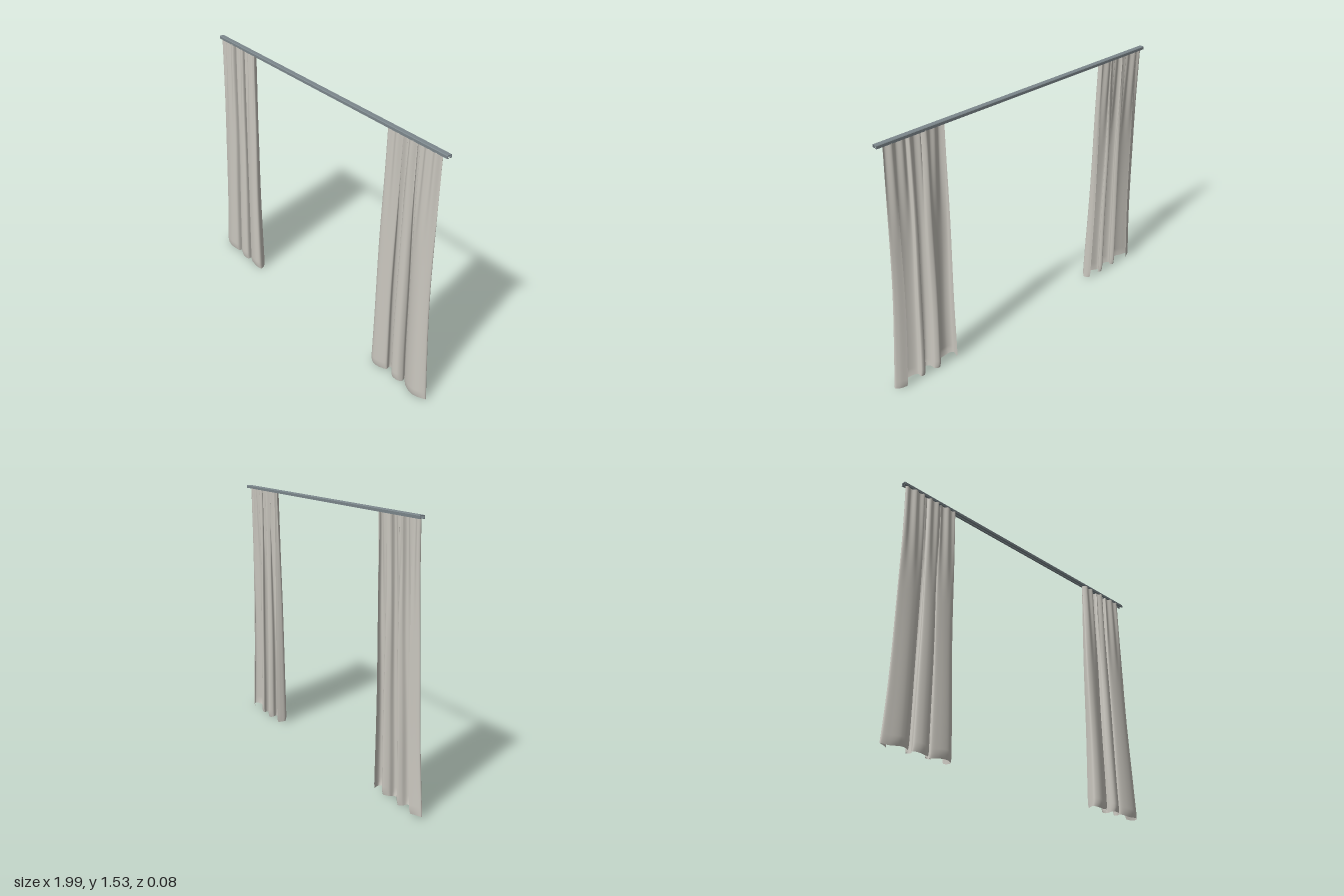
import * as THREE from 'three';

const fabric = new THREE.MeshStandardMaterial({ color: 0xc9c6be, side: THREE.DoubleSide });
fabric.name = 'linen fabric';
const metal = new THREE.MeshStandardMaterial({ color: 0x7c878c });
metal.name = 'grey metal';

const TOP = 1.517;

// Cloth sheet: a fold line swept from hem to rail, gathering and pleating as it rises
function curtain(name, hemPoints, hemRange, topRange) {
  const fold = new THREE.CatmullRomCurve3(
    hemPoints.map(([x, z]) => new THREE.Vector3(x, 0, z)), false, 'centripetal');
  const cols = 180, rows = 48;
  const line = fold.getSpacedPoints(cols);
  const geo = new THREE.PlaneGeometry(1, 1, cols, rows);
  const pos = geo.attributes.position;
  const { lerp, smoothstep } = THREE.MathUtils;
  for (let j = 0; j <= rows; j++) {
    const h = 1 - Math.pow(j / rows, 0.8);                // 1 at the rail, 0 at the hem
    const flare = Math.pow(1 - h, 2.2);                   // widening towards the floor
    const drop = 1 - Math.pow(h, 1.3);                    // folds deepen and lean forward
    const pleat = smoothstep(h, 0.55, 1);                 // small gathers under the rail
    const hem = 1 - smoothstep(h, 0, 0.014);              // hem tucks in
    for (let i = 0; i <= cols; i++) {
      const p = line[i], u = i / cols;
      const s = (p.x - hemRange[0]) / (hemRange[1] - hemRange[0]);
      const wave = Math.sin(u * Math.PI * 2 * 11);
      const x = lerp(lerp(topRange[0], topRange[1], s), p.x, flare);
      const z = lerp(-0.018 + p.z * 0.36, p.z, drop) + wave * 0.006 * pleat;
      const sway = 0.003 * Math.sin(h * 7 + u * 9) * h * (1 - h) * 4;
      const ripple = 0.004 * (1 + Math.sin(u * 31)) * (1 - smoothstep(h, 0, 0.1));
      pos.setXYZ(j * (cols + 1) + i, x + sway, h * TOP + ripple, z * (1 - 0.2 * hem));
    }
  }
  geo.computeVertexNormals();
  const mesh = new THREE.Mesh(geo, fabric);
  mesh.name = name;
  return mesh;
}

// Rail: channel section, open slot underneath, run along x
function rail() {
  const outline = [
    [-0.015, 0], [-0.005, 0], [-0.005, 0.004], [-0.011, 0.004], [-0.011, 0.014],
    [0.011, 0.014], [0.011, 0.004], [0.005, 0.004], [0.005, 0], [0.015, 0],
    [0.015, 0.015], [0.012, 0.018], [-0.012, 0.018], [-0.015, 0.015],
  ];
  const shape = new THREE.Shape(outline.map(([x, y]) => new THREE.Vector2(x, y)));
  const geo = new THREE.ExtrudeGeometry(shape, { depth: 1.94, bevelEnabled: false });
  geo.rotateY(Math.PI / 2);
  const mesh = new THREE.Mesh(geo, metal);
  mesh.name = 'curtainRail';
  mesh.position.set(-0.96, 1.514, -0.019);
  return mesh;
}

export function createModel() {
  const model = new THREE.Group();
  model.name = 'curtains';
  model.add(rail());

  // Hem fold lines as [x, z], outer edges returning to the back
  model.add(curtain('rightCurtain', [
    [-0.94, -0.034], [-0.98, -0.016], [-1, 0.002], [-0.96, 0.022], [-0.9, 0.036], [-0.845, 0.024],
    [-0.835, -0.01], [-0.82, -0.028], [-0.803, -0.01], [-0.81, 0.012], [-0.77, 0.034],
    [-0.72, 0.026], [-0.715, -0.01], [-0.69, -0.036], [-0.675, -0.02], [-0.7, 0.008],
    [-0.66, 0.03], [-0.6, 0.04], [-0.572, 0.026], [-0.578, -0.005], [-0.59, -0.022],
  ], [-1, -0.572], [-0.945, -0.592]));

  model.add(curtain('leftCurtain', [
    [0.57, -0.036], [0.563, -0.01], [0.562, 0.02], [0.59, 0.04], [0.65, 0.034], [0.685, 0.016],
    [0.68, -0.014], [0.7, -0.036], [0.725, -0.02], [0.73, 0.01], [0.75, 0.034],
    [0.79, 0.028], [0.805, 0], [0.8, -0.026], [0.825, -0.026], [0.83, 0.006],
    [0.87, 0.03], [0.93, 0.038], [0.975, 0.022], [0.995, 0.002], [0.975, -0.016], [0.93, -0.034],
  ], [0.562, 0.995], [0.565, 0.938]));

  return model;
}
